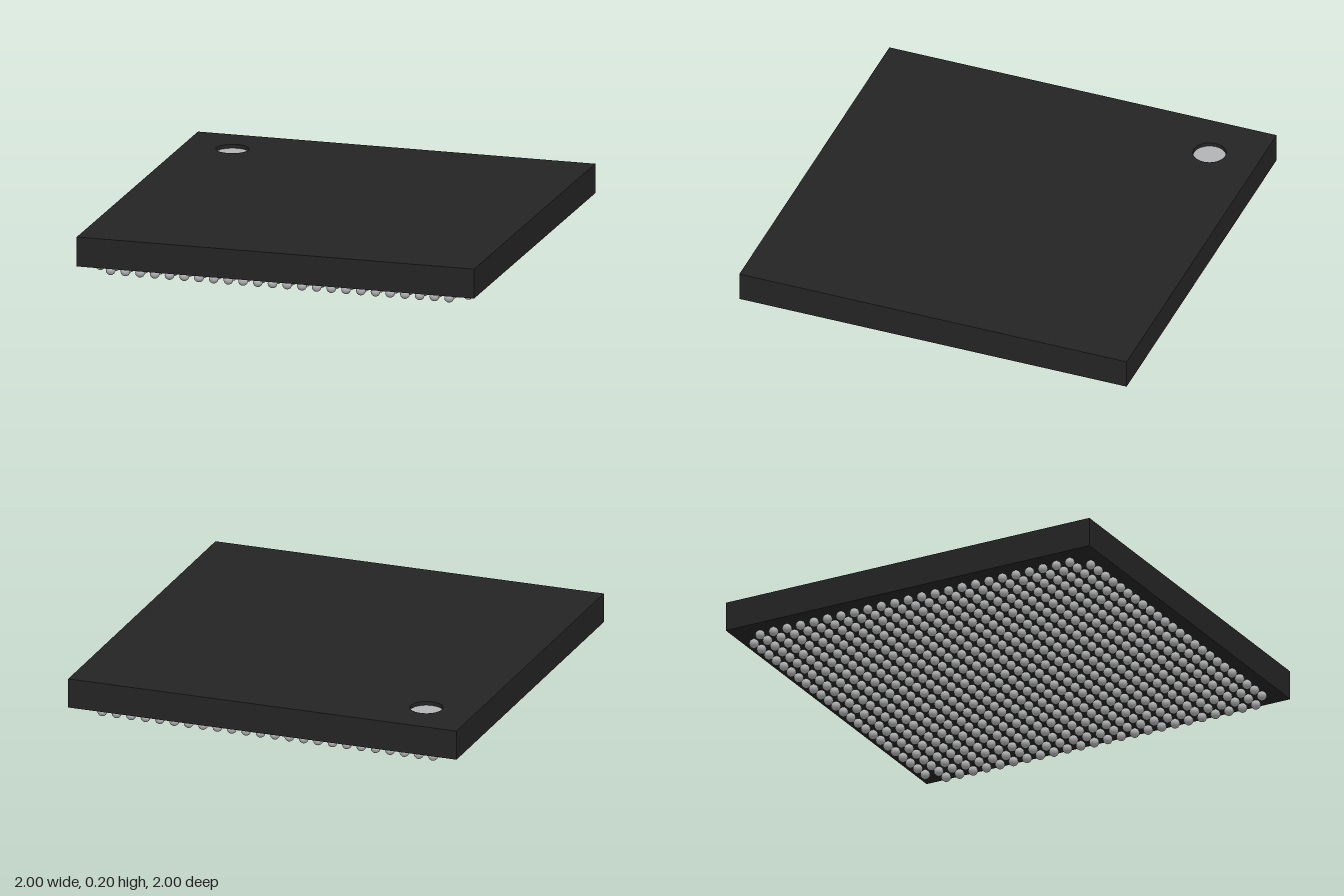
import * as THREE from 'three';
import { mergeGeometries } from 'three/addons/utils/BufferGeometryUtils.js';

const SIZE = 2, BOTTOM = 0.05, TOP = 0.197;
const RECESS = 0.02, MARK_R = 0.08, MARK_POS = -0.75;
const COUNT = 26, PITCH = SIZE / 27, BALL_R = 0.024;

export function createModel() {
  const black = new THREE.MeshStandardMaterial({ color: 0x242424 });
  black.name = 'packageBlack';
  const grey = new THREE.MeshStandardMaterial({ color: 0xb2b3b4 });
  grey.name = 'solderGrey';

  const model = new THREE.Group();
  model.name = 'ballGridPackage';
  const add = (name, geometry, material, x = 0, y = 0, z = 0) => {
    const mesh = new THREE.Mesh(geometry, material);
    mesh.name = name;
    mesh.position.set(x, y, z);
    model.add(mesh);
    return mesh;
  };

  // Lower body slab
  const floor = TOP - RECESS;
  const slabHeight = floor - BOTTOM;
  add('bodyLower', new THREE.BoxGeometry(SIZE, slabHeight, SIZE), black, 0, BOTTOM + slabHeight / 2, 0);

  // Top layer, pierced by the round corner recess
  const h = SIZE / 2;
  const outline = new THREE.Shape([
    new THREE.Vector2(-h, -h), new THREE.Vector2(h, -h),
    new THREE.Vector2(h, h), new THREE.Vector2(-h, h),
  ]);
  const hole = new THREE.Path();
  hole.absarc(MARK_POS, -MARK_POS, MARK_R, 0, Math.PI * 2, true);
  outline.holes.push(hole);
  const cover = new THREE.ExtrudeGeometry(outline, { depth: RECESS, bevelEnabled: false, curveSegments: 40 });
  cover.rotateX(-Math.PI / 2);
  add('bodyTop', cover, black, 0, floor, 0);

  // Grey pin-one marker on the recess floor
  const disc = new THREE.CircleGeometry(MARK_R, 40).rotateX(-Math.PI / 2);
  add('pinOneMarker', disc, grey, MARK_POS, floor + 0.001, MARK_POS);

  // Solder ball grid, without the four corner balls
  const ball = new THREE.SphereGeometry(BALL_R, 12, 8);
  const balls = [];
  const isEnd = (i) => i === 0 || i === COUNT - 1;
  const at = (i) => (i - (COUNT - 1) / 2) * PITCH;
  for (let i = 0; i < COUNT; i++) {
    for (let j = 0; j < COUNT; j++) {
      if (isEnd(i) && isEnd(j)) continue;
      balls.push(ball.clone().translate(at(i), BALL_R, at(j)));
    }
  }
  add('solderBalls', mergeGeometries(balls), grey);

  return model;
}
